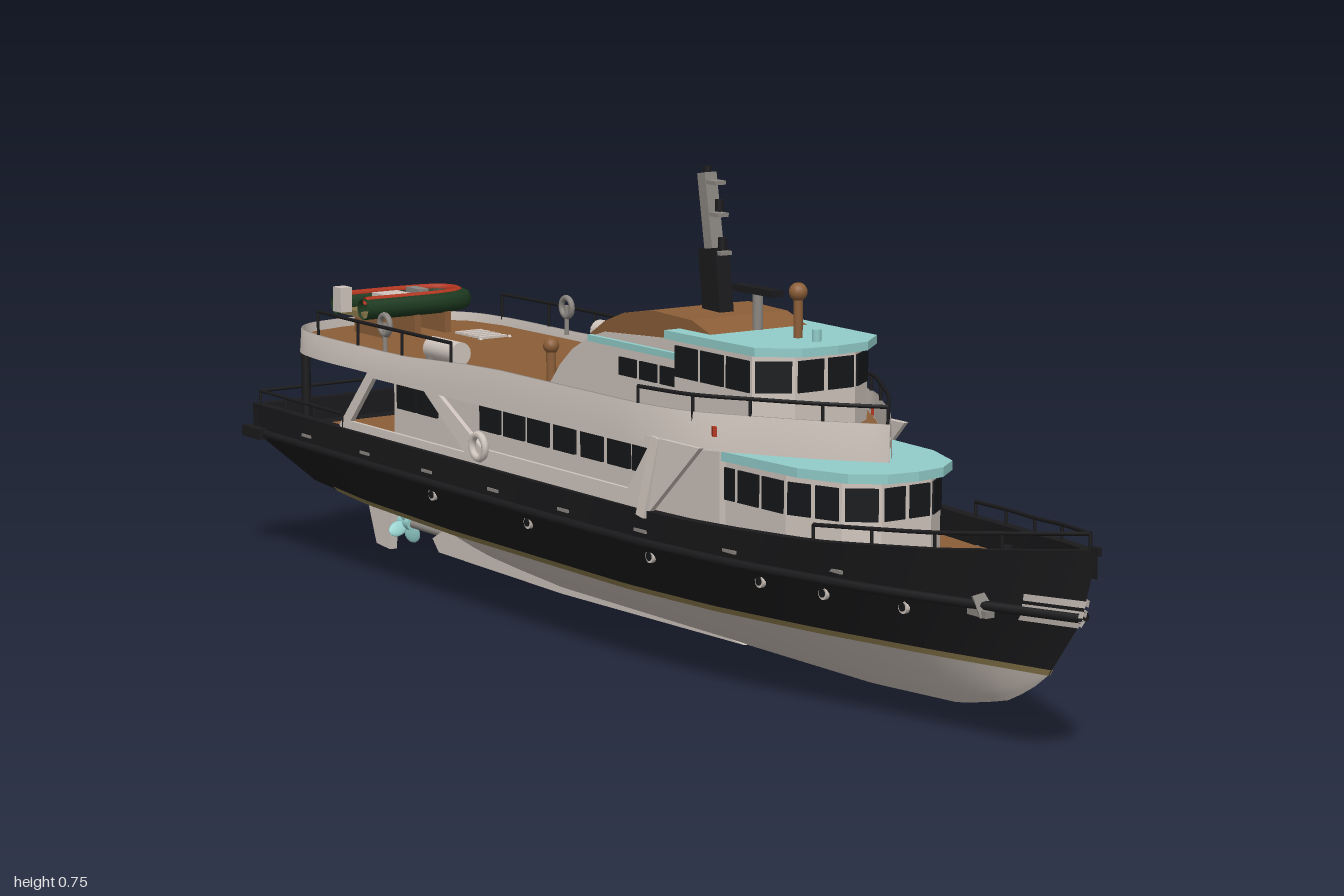
import * as THREE from 'three';

const paint = (name, color) => Object.assign(new THREE.MeshStandardMaterial({ color, side: THREE.DoubleSide }), { name });
const black = paint('hull black', 0x1b1b1d), white = paint('warm white', 0xcfc5bd), brown = paint('deck brown', 0x8c5e38),
  aqua = paint('roof aqua', 0x92cdca), glass = paint('dark glass', 0x15171a), gold = paint('waterline gold', 0x87764a),
  green = paint('dinghy green', 0x1d3a20), red = paint('signal red', 0xb2361f), grey = paint('metal grey', 0x8b8681);

// Piecewise linear lookup through [input, output] pairs
const lut = pts => v => {
  if (v <= pts[0][0]) return pts[0][1];
  for (let i = 1; i < pts.length; i++) if (v <= pts[i][0]) {
    const [a, b] = [pts[i - 1], pts[i]];
    return a[1] + (b[1] - a[1]) * (v - a[0]) / (b[0] - a[0]);
  }
  return pts[pts.length - 1][1];
};
const mix = THREE.MathUtils.lerp;

// Hull lines: half widths by z, and the sheer height
const sheerY = lut([[-1, .258], [.3, .26], [.55, .267], [.75, .282], [.985, .308]]);
const sheerW = lut([[-.985, .198], [-.5, .206], [0, .206], [.2, .201], [.3, .194], [.4, .184], [.5, .167], [.6, .145], [.7, .115], [.8, .081], [.9, .042], [.985, 0]]);
const midW = lut([[-.975, .194], [-.5, .202], [0, .201], [.2, .194], [.4, .172], [.6, .126], [.7, .096], [.8, .061], [.955, 0]]);
const chineW = lut([[-.945, .1], [-.7, .136], [-.4, .154], [.1, .154], [.3, .136], [.5, .1], [.7, .053], [.89, 0]]);
const lowerW = lut([[-.82, 0], [-.75, .055], [-.6, .108], [-.4, .145], [.1, .15], [.3, .133], [.5, .098], [.7, .052], [.89, 0]]);
const keelY = lut([[-.82, .112], [-.65, .07], [-.5, .038], [-.3, .025], [.5, .029], [.7, .04], [.8, .063], [.85, .088], [.89, .118]]);
const rows = [
  u => { const z = mix(-.985, .985, u); return [sheerW(z), sheerY(z), z]; },
  u => { const z = mix(-.975, .955, u); return [midW(z), .205, z]; },
  u => { const z = mix(-.945, .89, u); return [chineW(z), .118, z]; },
];
// Point on the topsides at length u and height y
const hullAt = (u, y) => {
  const [a, b] = y > .205 ? [rows[0](u), rows[1](u)] : [rows[1](u), rows[2](u)];
  const t = (a[1] - y) / (a[1] - b[1]);
  return a.map((v, i) => mix(v, b[i], t));
};
const uOf = z => (z + .985) / 1.97;

export function createModel() {
  const model = new THREE.Group();
  model.name = 'motorYacht';
  const add = (name, geo, mat, x = 0, y = 0, z = 0) => {
    const m = new THREE.Mesh(geo, mat);
    m.name = name; m.position.set(x, y, z); model.add(m);
    return m;
  };
  const box = (name, mat, w, h, d, x, y, z) => add(name, new THREE.BoxGeometry(w, h, d), mat, x, y, z);
  const cyl = (name, mat, r, h, x, y, z, axis = 'y', r2 = r) => {
    const m = add(name, new THREE.CylinderGeometry(r2, r, h, 16), mat, x, y, z);
    if (axis === 'x') m.rotation.z = Math.PI / 2;
    if (axis === 'z') m.rotation.x = Math.PI / 2;
    return m;
  };
  // Surface lofted through a list of rows, each a function of u
  const loft = (name, mat, list, n = 60, u0 = 0, u1 = 1) => {
    const pos = [], idx = [], m = list.length;
    for (let i = 0; i <= n; i++) for (const row of list) pos.push(...row(mix(u0, u1, i / n)));
    for (let i = 0; i < n; i++) for (let j = 0; j < m - 1; j++) {
      const a = i * m + j, b = a + m;
      idx.push(a, a + 1, b, b, a + 1, b + 1);
    }
    const g = new THREE.BufferGeometry();
    g.setAttribute('position', new THREE.Float32BufferAttribute(pos, 3));
    g.setIndex(idx); g.computeVertexNormals();
    return add(name, g, mat);
  };
  const side = (s, f) => u => { const p = f(u); return [p[0] * s, p[1], p[2]]; };
  const tube = (name, mat, pts, r, n = 50, closed = false) => add(name, new THREE.TubeGeometry(
    new THREE.CatmullRomCurve3(pts.map(p => new THREE.Vector3(...p)), closed, 'centripetal'), n, r, 8, closed), mat);
  const beam = (name, mat, a, b, w, d) => {
    const A = new THREE.Vector3(...a), B = new THREE.Vector3(...b), v = B.clone().sub(A);
    const m = box(name, mat, w, v.length(), d, 0, 0, 0);
    m.position.copy(A.add(B).multiplyScalar(.5));
    m.quaternion.setFromUnitVectors(new THREE.Vector3(0, 1, 0), v.normalize());
    return m;
  };
  // Mirror a half plan (front to back) into a full outline
  const full = half => [...half.map(([x, z]) => [-x, z]).reverse(), ...half.filter(p => p[0] > 0)];
  const prism = (name, mat, half, y0, y1) => {
    const g = new THREE.ExtrudeGeometry(new THREE.Shape(full(half).map(([x, z]) => new THREE.Vector2(x, -z))), { depth: y1 - y0, bevelEnabled: false });
    return add(name, g.rotateX(-Math.PI / 2), mat, 0, y0, 0);
  };
  // Profile in (z, y), extruded across the beam between x0 and x1
  const profile = (name, mat, pts, x0, x1, holes = []) => {
    const path = p => p.map(([z, y]) => new THREE.Vector2(-z, y));
    const s = new THREE.Shape(path(pts));
    holes.forEach(h => s.holes.push(new THREE.Path(path(h))));
    return add(name, new THREE.ExtrudeGeometry(s, { depth: x1 - x0, bevelEnabled: false }).rotateY(Math.PI / 2), mat, x0, 0, 0);
  };
  // Window panes along the edges of an outline
  const panes = (name, half, y0, y1, counts) => {
    const p = full(half);
    for (let i = 0; i < p.length - 1; i++) {
      const [a, b] = [p[i], p[i + 1]], dx = b[0] - a[0], dz = b[1] - a[1], len = Math.hypot(dx, dz);
      const n = counts(len);
      for (let k = 0; k < n; k++) {
        const t = (k + .5) / n;
        box(name, glass, len / n - .009, y1 - y0, .006, a[0] + dx * t, (y0 + y1) / 2, a[1] + dz * t).rotation.y = -Math.atan2(dz, dx);
      }
    }
  };

  // Hull, bulwarks and bottom
  const inner = (drop, inset) => u => { const p = rows[0](u); return [Math.max(0, p[0] - inset), p[1] - drop, p[2]]; };
  for (const s of [-1, 1]) {
    loft('topside', black, [rows[0], rows[1]].map(r => side(s, r)));
    loft('lowerTopside', black, [rows[1], rows[2]].map(r => side(s, r)));
    loft('hullUnderside', black, [rows[2], u => [0, .117, rows[2](u)[2]]].map(r => side(s, r)));
    loft('bulwarkCap', black, [rows[0], inner(0, .016)].map(r => side(s, r)));
    loft('bulwarkInside', black, [inner(0, .016), inner(.04, .016)].map(r => side(s, r)));
    loft('waterlineStripe', gold, [.126, .117].map(y => side(s, u => { const p = hullAt(u, Math.max(y, .118)); return [p[0] + .002, y, p[2]]; })), 60, .06, 1);
    loft('bottom', white, [0, 1, 2, 3, 4, 5, 6].map(j => side(s, u => {
      const z = mix(-.82, .89, u), t = j / 6;
      return [lowerW(z) * Math.pow(1 - t, .85), mix(.118, keelY(z), t), z];
    })));
    tube('rubRail', black, Array.from({ length: 24 }, (_, i) => { const p = hullAt(i / 23, .21); return [s * (p[0] + .004), .21, p[2]]; }), .007, 60);
    // Bow plates, anchors, portholes and scuppers
    for (const y of [.2, .215, .23]) loft('bowPlate', white, [y + .005, y - .005].map(h => side(s, u => {
      const p = hullAt(u, h); return [p[0] + .003, h, p[2] + .004];
    })), 6, .955, 1);
    const a = hullAt(.925, .21);
    beam('anchorShank', grey, [s * (a[0] + .004), .225, a[2]], [s * (a[0] - .002), .195, a[2] + .01], .012, .02);
    box('anchorFluke', grey, .016, .01, .04, s * a[0], .199, a[2]);
    for (const z of [.72, .58, .46, .22, -.11, -.4]) {
      const p = hullAt(uOf(z), .188);
      cyl('portholeRim', white, .01, .006, s * p[0], .188, p[2], 'x');
      cyl('portholeGlass', glass, .0065, .009, s * p[0], .188, p[2], 'x');
    }
    for (let z = -.8; z < .8; z += .2) { const p = hullAt(uOf(z), .227); box('scupper', grey, .004, .005, .03, s * p[0], .227, p[2]); }
    // Bow and stern rails
    const railAt = z => [s * Math.max(0, sheerW(z) - .008), sheerY(z) + .022, z];
    for (const zs of [[.55, .65, .75, .85, .97], [-.68, -.78, -.88, -.97]]) {
      tube('deckRail', black, zs.map(railAt), .003, 24);
      zs.forEach(z => { const p = railAt(z); cyl('railPost', black, .0025, .024, p[0], p[1] - .012, z); });
    }
  }
  for (const [i, j] of [[0, 1], [1, 2]]) loft('transom', black, [i, j].map(k => u => { const p = rows[k](0); return [p[0] * (2 * u - 1), p[1], p[2]]; }), 1);
  loft('mainDeck', brown, [side(-1, inner(.04, .015)), side(1, inner(.04, .015))]);
  box('sternBulwark', black, .395, .05, .016, 0, .233, -.976);
  box('sternFender', black, .425, .018, .06, 0, .21, -.968);
  tube('sternRail', black, [[-.19, .28, -.97], [0, .28, -.975], [.19, .28, -.97]], .003, 8);
  box('stem', black, .008, .012, .014, 0, .306, .982);

  // Skeg, shaft, propeller and rudder
  profile('skeg', white, [[.2, .03], [-.3, .02], [-.68, .024], [-.7, .045], [-.6, .1], [-.2, .06]], -.012, .012);
  cyl('propellerShaft', grey, .007, .16, 0, .055, -.73, 'z');
  cyl('propellerHub', aqua, .012, .035, 0, .055, -.8, 'z');
  for (let i = 0; i < 4; i++) {
    const t = i * Math.PI / 2 + .4;
    const blade = add('propellerBlade', new THREE.SphereGeometry(.5, 12, 8).scale(.026, .036, .007).rotateY(.5).translate(0, .022, 0), aqua, 0, .055, -.8);
    blade.rotation.z = t;
  }
  profile('rudder', white, [[-.835, .115], [-.94, .118], [-.895, .004], [-.85, 0]], -.007, .007);

  // Main deckhouse with side windows
  box('mainHouse', white, .276, .15, .92, 0, .29, -.15);
  const foreHouse = [[.045, .575], [.09, .54], [.122, .45], [.128, .28]];
  prism('foreHouse', white, foreHouse, .215, .345);
  panes('foreWindow', foreHouse, .285, .333, l => Math.max(1, Math.round(l / .052)));
  prism('foreRoof', aqua, [[0, .602], [.05, .595], [.095, .56], [.125, .48], [.136, .3]], .343, .357);
  for (const s of [-1, 1]) {
    for (const z of [.12, .053, -.02, -.096, -.17, -.24, -.31, -.5, -.565])
      box('sideWindow', glass, .006, .05, .058, s * .14, .322, z);
    // Outer side plating with slanted openings
    const plate = profile('sidePlating', white,
      [[.33, .37], [.2, .245], [-.68, .245], [-.69, .262], [-.6, .37]], -.004, .004, [
        [[.2, .352], [.155, .285], [-.25, .285], [-.385, .352]],
        [[-.43, .352], [-.3, .272], [-.655, .272], [-.59, .352]],
      ]);
    plate.position.x = s * .198;
    plate.geometry.translate(0, -.245, 0).rotateZ(s * .07);
    plate.position.y = .245;
    const ring = add('lifebuoy', new THREE.TorusGeometry(.019, .006, 8, 20), white, s * .204, .29, -.245);
    ring.rotation.y = Math.PI / 2;
    cyl('awningPost', black, .008, .16, s * .168, .29, -.85);
    beam('foreStay', white, [s * .2, .25, .2], [s * .186, .37, .22], .01, .02);
  }

  // Upper deck with its bulwark band
  const plan = [[0, .535], [.06, .46], [.12, .365], [.165, .285], [.186, .2], [.191, 0], [.191, -.6], [.187, -.78], [.17, -.86], [.13, -.908], [.06, -.928], [0, -.932]];
  prism('upperDeckSlab', white, plan, .362, .38);
  prism('upperDeckPlanking', brown, plan.map(([x, z]) => [Math.max(0, x - .006), z > 0 ? z - .008 : z + .006]), .38, .386);
  const edge = new THREE.CatmullRomCurve3(plan.map(([x, z]) => new THREE.Vector3(x, 0, z)), false, 'centripetal');
  const bandTop = lut([[-.5, .4], [-.25, .415]]);
  const band = (inset, top) => u => { const p = edge.getPoint(u); return [Math.max(0, p.x - inset), top ? bandTop(p.z) : .36, p.z]; };
  for (const s of [-1, 1]) {
    loft('upperBulwark', white, [band(-.003, 0), band(0, 1), band(.006, 1), band(.006, 0)].map(r => side(s, r)), 80);
    for (const pts of [[[0, .53], [.06, .455], [.12, .36], [.165, .28], [.186, .17]], [[.188, -.35], [.188, -.5], [.188, -.64], [.183, -.78]]]) {
      tube('upperRail', black, pts.map(([x, z]) => [s * x, .44, z]), .003, 24);
      pts.forEach(([x, z]) => cyl('upperRailPost', black, .0025, .045, s * x, .418, z));
    }
    box('flagPlate', red, .006, .014, .022, s * .152, .39, .315).rotation.y = s * .5;
    // Life raft canisters, vents and lamps
    cyl('lifeRaft', white, .019, .085, s * .162, .418, -.405, 'z');
    for (const z of [-.375, -.435]) box('raftCradle', grey, .036, .026, .008, s * .162, .397, z);
    cyl('ventPipe', brown, .008, .05, s * .08, .41, -.225);
    add('ventHead', new THREE.SphereGeometry(.013, 14, 10), brown, s * .08, .442, -.225);
    cyl('lampPost', grey, .004, .05, s * .178, .42, -.57);
    add('lampRing', new THREE.TorusGeometry(.016, .005, 8, 18), grey, s * .178, .442, -.57).rotation.y = Math.PI / 2;
    cyl('foredeckBollard', black, .01, .03, s * .055, .25, .73);
    cyl('aftBollard', black, .009, .03, s * .165, .232, -.9);
  }

  // Wheelhouse
  const bridge = [[.055, .382], [.106, .345], [.106, .15]];
  prism('wheelhouse', white, bridge, .384, .503);
  panes('wheelhouseWindow', bridge, .445, .492, l => Math.max(1, Math.round(l / .06)));
  prism('wheelhouseRoof', aqua, [[0, .412], [.06, .405], [.112, .36], [.118, .14]], .501, .514);

  // Casing behind the wheelhouse
  profile('casing', white, [[.18, .384], [.18, .5], [-.06, .485], [-.1, .473], [-.15, .447], [-.185, .418], [-.215, .384]], -.09, .09);
  profile('casingRoof', brown, [[.225, .512], [.17, .53], [.07, .533], [-.01, .52], [-.06, .502], [-.1, .478], [-.1, .472], [.15, .48]], -.089, .089);
  for (const s of [-1, 1]) {
    box('casingStripe', aqua, .014, .01, .26, s * .091, .472, .035);
    for (const z of [.115, .06, .005]) box('casingWindow', glass, .006, .028, .045, s * .09, .438, z);
  }

  // Mast, radar and searchlight
  beam('mastBase', black, [0, .52, .115], [0, .625, .102], .026, .045);
  beam('mastTop', grey, [0, .62, .104], [0, .738, .084], .022, .02);
  for (const y of [.628, .685, .733]) {
    const z = mix(.115, .085, (y - .53) / .21);
    box('mastStep', grey, .02, .006, .04, 0, y - .008, z + .014);
    cyl('mastLamp', black, .007, .018, 0, y + .006, z + (y > .73 ? 0 : .024));
  }
  cyl('radarPost', grey, .008, .06, 0, .54, .215);
  box('radarBar', black, .02, .01, .1, 0, .573, .215);
  cyl('searchlightPost', brown, .007, .065, 0, .545, .315);
  add('searchlight', new THREE.SphereGeometry(.014, 16, 12), brown, 0, .582, .315);
  cyl('roofHorn', aqua, .007, .02, 0, .522, .36);

  // Dinghy on its chocks
  const U = (dy, k) => [[-.105, -.058], [.06, -.055], [.1, -.036], [.112, 0], [.1, .036], [.06, .055], [-.105, .058]].map(([x, z]) => [x * k, .438 + dy, -.81 + z * k * .78]);
  tube('dinghyTube', green, U(0, 1), .018);
  tube('dinghyStripe', red, U(.014, .95), .007);
  box('dinghyFloor', gold, .18, .01, .08, -.01, .427, -.81);
  box('dinghySeat', white, .05, .022, .05, -.02, .444, -.81);
  box('dinghyConsole', grey, .02, .03, .04, .03, .445, -.81);
  box('outboardMotor', white, .022, .042, .026, -.118, .452, -.81);
  for (const x of [-.06, 0, .06]) box('dinghyChock', brown, .012, .04, .1, x, .402, -.81);

  // Stairs between the decks
  for (let i = 0; i < 9; i++) box('stairTread', white, .055, .006, .018, .088, .23 + i * .018, -.8 + i * .017);
  for (const x of [.059, .117]) beam('stairStringer', white, [x, .22, -.81], [x, .385, -.65], .005, .014);
  for (let i = 0; i < 5; i++) box('stairHatchSlat', white, .052, .004, .011, .088, .388, -.735 + i * .018);
  return model;
}
